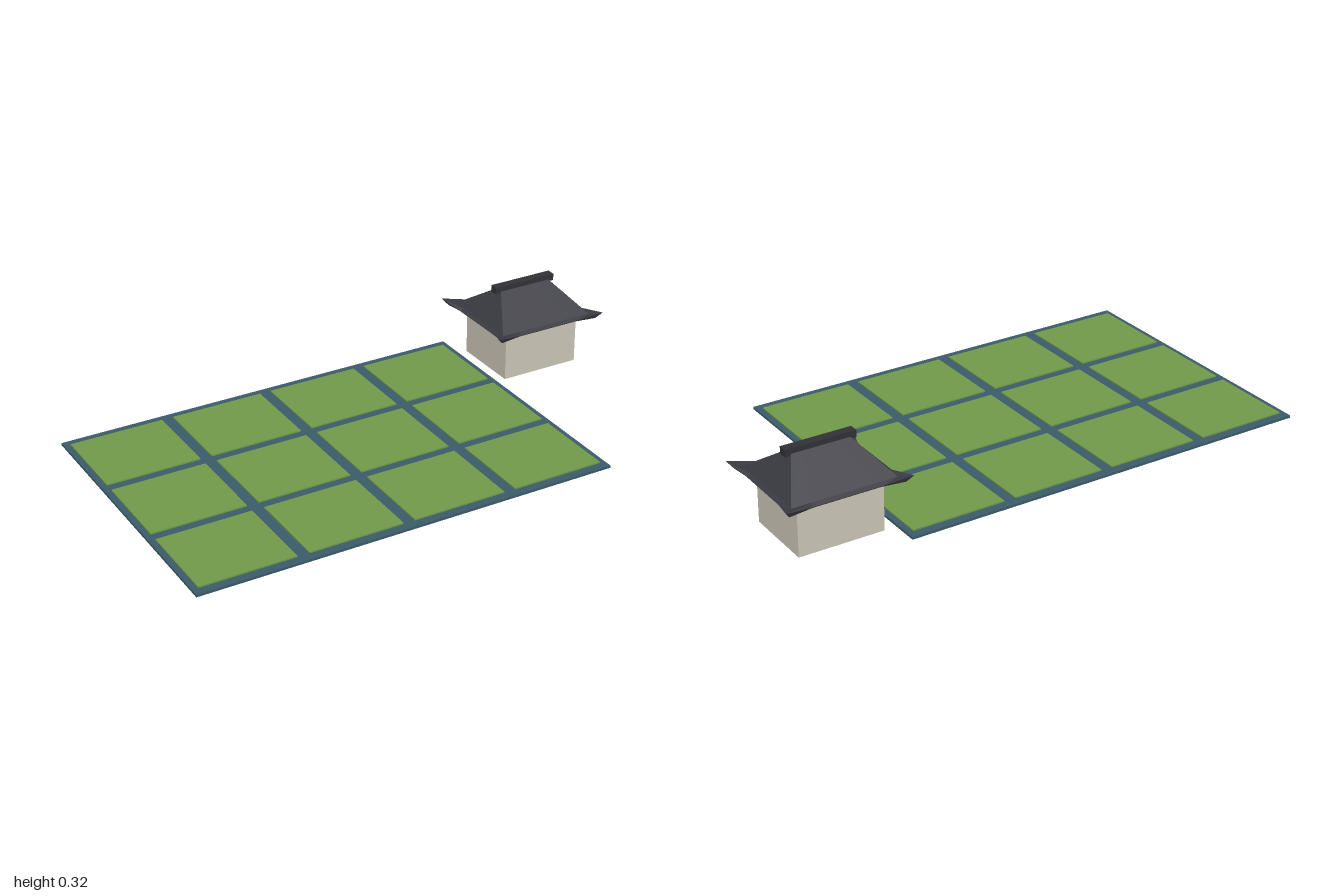
import * as THREE from 'three';

const mat = (name, color, extra = {}) => {
  const m = new THREE.MeshStandardMaterial({ color, ...extra });
  m.name = name;
  return m;
};

// Rectangular ring of 12 points; only its corners are pushed out and lifted.
function ring(hx, hz, y, out = 0, lift = 0) {
  const points = [];
  for (let side = 0; side < 4; side++) {
    for (const t of [-1, -0.62, 0.62]) {
      const [x, z] = [[t * hx, hz], [hx, -t * hz], [-t * hx, -hz], [-hx, t * hz]][side];
      const corner = t === -1 ? 1 : 0;
      points.push([x + Math.sign(x) * out * corner, y + lift * corner, z + Math.sign(z) * out * corner]);
    }
  }
  return points;
}

// Join consecutive rings with faces
function skin(rings) {
  const pos = [];
  for (let r = 0; r < rings.length - 1; r++) {
    const a = rings[r], b = rings[r + 1];
    for (let i = 0; i < a.length; i++) {
      const j = (i + 1) % a.length;
      pos.push(...a[i], ...a[j], ...b[j], ...a[i], ...b[j], ...b[i]);
    }
  }
  const geo = new THREE.BufferGeometry();
  geo.setAttribute('position', new THREE.Float32BufferAttribute(pos, 3));
  geo.computeVertexNormals();
  return geo;
}

export function createModel() {
  const model = new THREE.Group();
  model.name = 'paddyFarm';
  const water = mat('water', 0x3a5a68);
  const crop = mat('crop', 0x6f9848);
  const plaster = mat('plaster', 0xc9c3b5);
  const tile = mat('roofTile', 0x3a3a42, { flatShading: true });
  const ridgeTile = mat('ridgeTile', 0x303036);

  const box = (name, parent, material, size, at) => {
    const mesh = new THREE.Mesh(new THREE.BoxGeometry(...size), material);
    mesh.name = name;
    mesh.position.set(...at);
    parent.add(mesh);
  };

  // Flooded field with a grid of crop beds
  const field = new THREE.Group();
  field.name = 'field';
  field.position.x = -0.214;
  model.add(field);
  box('waterBase', field, water, [1.572, 0.009, 1.096], [0, 0.0045, 0]);
  for (let col = 0; col < 4; col++) {
    for (let row = 0; row < 3; row++) {
      box('cropBed', field, crop, [0.35, 0.012, 0.318],
        [(col - 1.5) * 0.393, 0.008, (row - 1) * 0.357]);
    }
  }

  // Small house beside the field
  const house = new THREE.Group();
  house.name = 'house';
  house.position.set(0.772, 0, -0.315);
  model.add(house);
  box('walls', house, plaster, [0.312, 0.194, 0.268], [0, 0.097, 0]);

  // Hipped roof with upturned eave corners
  const roof = new THREE.Mesh(skin([
    ring(0, 0, 0.19),
    ring(0.198, 0.176, 0.188, 0.01, -0.002),
    ring(0.205, 0.18, 0.192, 0.023, 0.019),
    ring(0.19, 0.164, 0.2),
    ring(0.105, 0.014, 0.302),
  ]), tile);
  roof.name = 'roof';
  house.add(roof);
  box('ridge', house, ridgeTile, [0.256, 0.026, 0.033], [0, 0.306, 0]);

  return model;
}
